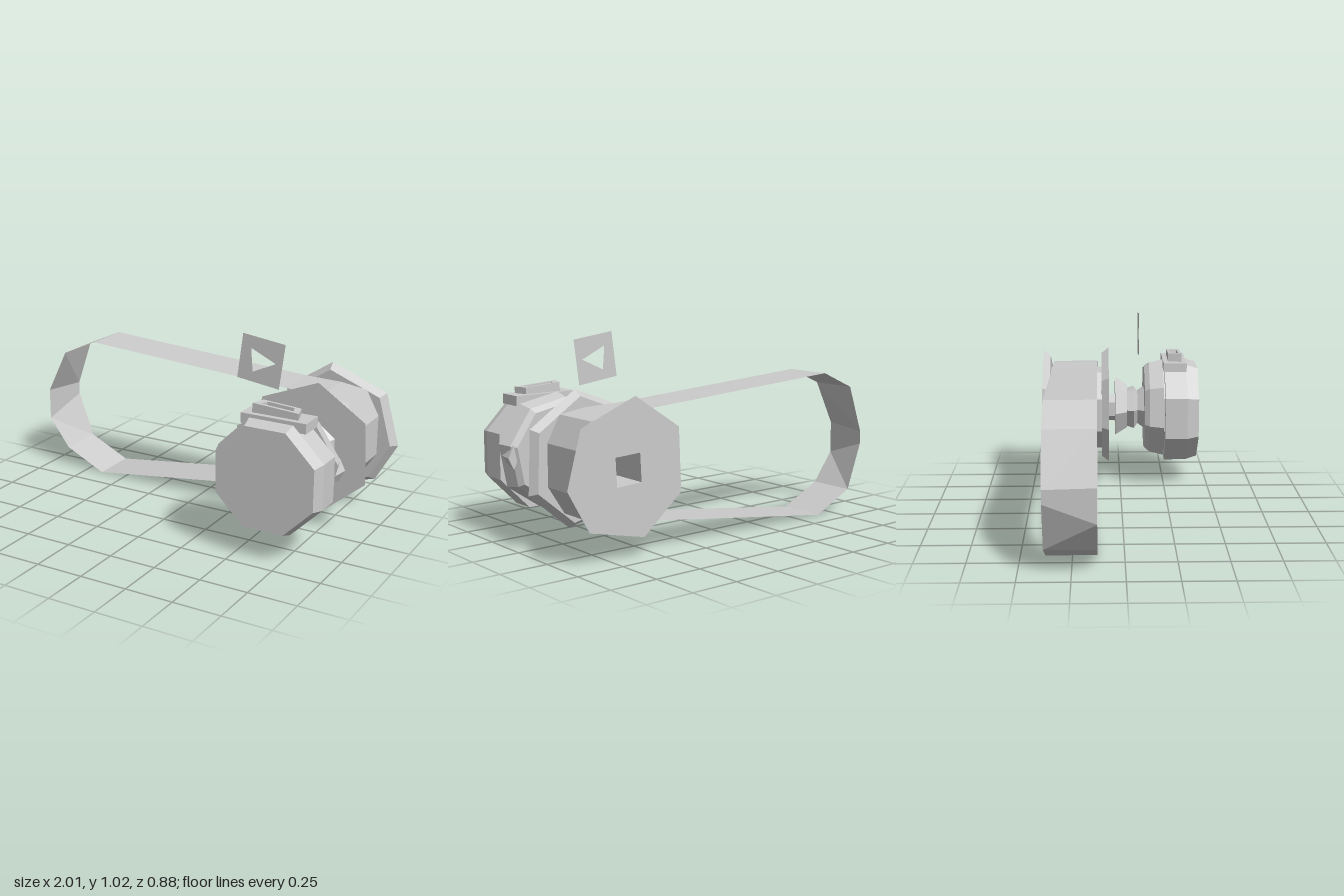
import * as THREE from 'three';

const CX = 0.665, CY = 0.43; // common axis of motor and pulley, along z
const material = new THREE.MeshStandardMaterial({ color: 0xcccccc, flatShading: true, side: THREE.DoubleSide });

function add(group, name, geometry, x = 0, y = 0, z = 0) {
  const mesh = new THREE.Mesh(geometry, material);
  mesh.name = name;
  mesh.position.set(x, y, z);
  group.add(mesh);
  return mesh;
}

// Faceted solid of revolution about z; profile holds [radius, z] pairs
function turned(profile, sides, turn = 0) {
  const points = profile.map(([r, z]) => new THREE.Vector2(r, z));
  return new THREE.LatheGeometry(points, sides).rotateX(Math.PI / 2).rotateZ(turn);
}

const outline = (points) => points.map(([x, y]) => new THREE.Vector2(x, y));
const polar = (r, degrees) => degrees.map((d) => {
  const a = THREE.MathUtils.degToRad(d);
  return [r * Math.cos(a), r * Math.sin(a)];
});

// Seven-sided flange with a square bore, its rim narrowing at the z = 0.04 side
function flange() {
  const shape = new THREE.Shape(outline(polar(0.345, [-9, 40, 97, 150, 205, 255, 310])));
  shape.holes.push(new THREE.Path(outline(polar(0.1, [-48, 42, 132, 222]))));
  const geometry = new THREE.ExtrudeGeometry(shape, { depth: 0.04, bevelEnabled: false });
  const p = geometry.attributes.position;
  for (let i = 0; i < p.count; i++) {
    if (p.getZ(i) > 0.02 && Math.hypot(p.getX(i), p.getY(i)) > 0.2) {
      p.setXY(i, p.getX(i) * 0.91, p.getY(i) * 0.91);
    }
  }
  return geometry;
}

// Thin belt: a closed strip between a front and a back edge
function beltGeometry() {
  const path = [
    [-0.68, 0.77], [0.5, 0.695], [0.7, 0.69], [0.84, 0.67], [0.91, 0.54], [0.91, 0.33],
    [0.82, 0.19], [0.66, 0.14], [0.48, 0.15], [-0.65, 0], [-0.88, 0.11], [-1, 0.27],
    [-1, 0.44], [-0.88, 0.68],
  ];
  const vertices = [], index = [];
  path.forEach(([x, y], i) => {
    const inset = x === -1 ? 0.03 : 0;
    vertices.push(x, y, -0.13, x + inset, inset ? 0.39 + (y - 0.355) * 0.4 : y, -0.38);
    const a = 2 * i, b = 2 * ((i + 1) % path.length);
    index.push(a, b, a + 1, b, b + 1, a + 1);
  });
  const geometry = new THREE.BufferGeometry();
  geometry.setAttribute('position', new THREE.Float32BufferAttribute(vertices, 3));
  geometry.setIndex(index);
  geometry.computeVertexNormals();
  return geometry;
}

export function createModel() {
  const model = new THREE.Group();
  model.name = 'beltDriveMotor';

  add(model, 'belt', beltGeometry());

  // Pulley: hub, square bore and two flanges tapering toward the belt
  const pulley = new THREE.Group();
  pulley.name = 'pulley';
  pulley.position.set(CX, CY, 0);
  model.add(pulley);
  add(pulley, 'hub', turned([[0.24, -0.396], [0.24, -0.104]], 8, Math.PI / 8));
  add(pulley, 'bore', turned([[0.1, -0.43], [0.1, -0.07]], 4, THREE.MathUtils.degToRad(42)));
  add(pulley, 'backFlange', flange(), 0, 0, -0.435);
  const front = add(pulley, 'frontFlange', flange(), 0, 0, -0.065);
  front.rotation.y = Math.PI;

  // Shaft and stepped coupling between pulley and motor
  const coupling = new THREE.Group();
  coupling.name = 'coupling';
  coupling.position.set(CX, CY, 0);
  model.add(coupling);
  add(coupling, 'shaft', turned([[0, -0.1], [0.08, -0.1], [0.08, 0.04], [0, 0.04]], 6));
  add(coupling, 'collar', turned([[0, -0.028], [0.175, -0.028], [0.13, 0.04], [0, 0.04]], 7, 0.25));
  add(coupling, 'frontCollar', turned(
    [[0, 0.035], [0.115, 0.035], [0.13, 0.08], [0.1, 0.1], [0.13, 0.14], [0, 0.14]], 6, 0.5));

  // Motor: rear cap, narrow core visible in the slot, and front body
  const motor = new THREE.Group();
  motor.name = 'motor';
  motor.position.set(CX, CY, 0);
  model.add(motor);
  add(motor, 'rearCap', turned(
    [[0, 0.138], [0.25, 0.138], [0.275, 0.165], [0.295, 0.242], [0, 0.242]], 8, 0.2));
  add(motor, 'core', turned([[0.245, 0.235], [0.245, 0.26]], 8, Math.PI / 8));
  add(motor, 'body', turned(
    [[0, 0.252], [0.3, 0.252], [0.3, 0.375], [0.278, 0.44], [0, 0.44]], 8, Math.PI / 8), 0, -0.01);

  // Pointed rib on the side of the motor
  const rib = new THREE.ConeGeometry(0.06, 0.19, 4).rotateX(Math.PI / 2).scale(0.5, 1, 1);
  add(motor, 'sideRib', rib, 0.26, 0, 0.245);

  // Socket on top: base plate and an open rectangular rim
  add(motor, 'socketBase', new THREE.BoxGeometry(0.34, 0.05, 0.13), 0.01, 0.26, 0.31);
  const rim = new THREE.Shape(outline([[-0.12, -0.037], [0.12, -0.037], [0.1, 0.037], [-0.1, 0.037]]));
  rim.holes.push(new THREE.Path(outline([[-0.085, -0.02], [0.085, -0.02], [0.07, 0.022], [-0.07, 0.022]])));
  const socket = new THREE.ExtrudeGeometry(rim, { depth: 0.06, bevelEnabled: false }).rotateX(-Math.PI / 2);
  const rimMesh = add(motor, 'socketRim', socket, 0.005, 0.265, 0.31);
  rimMesh.rotation.z = -0.06;

  // Thin separate plate with a triangular opening
  const plate = new THREE.Shape(outline([[0.37, 1.02], [0.34, 0.79], [0.57, 0.76], [0.6, 0.99]]));
  plate.holes.push(new THREE.Path(outline([[0.415, 0.95], [0.55, 0.887], [0.425, 0.83]])));
  add(model, 'plate', new THREE.ShapeGeometry(plate), 0, 0, 0.1);

  return model;
}
